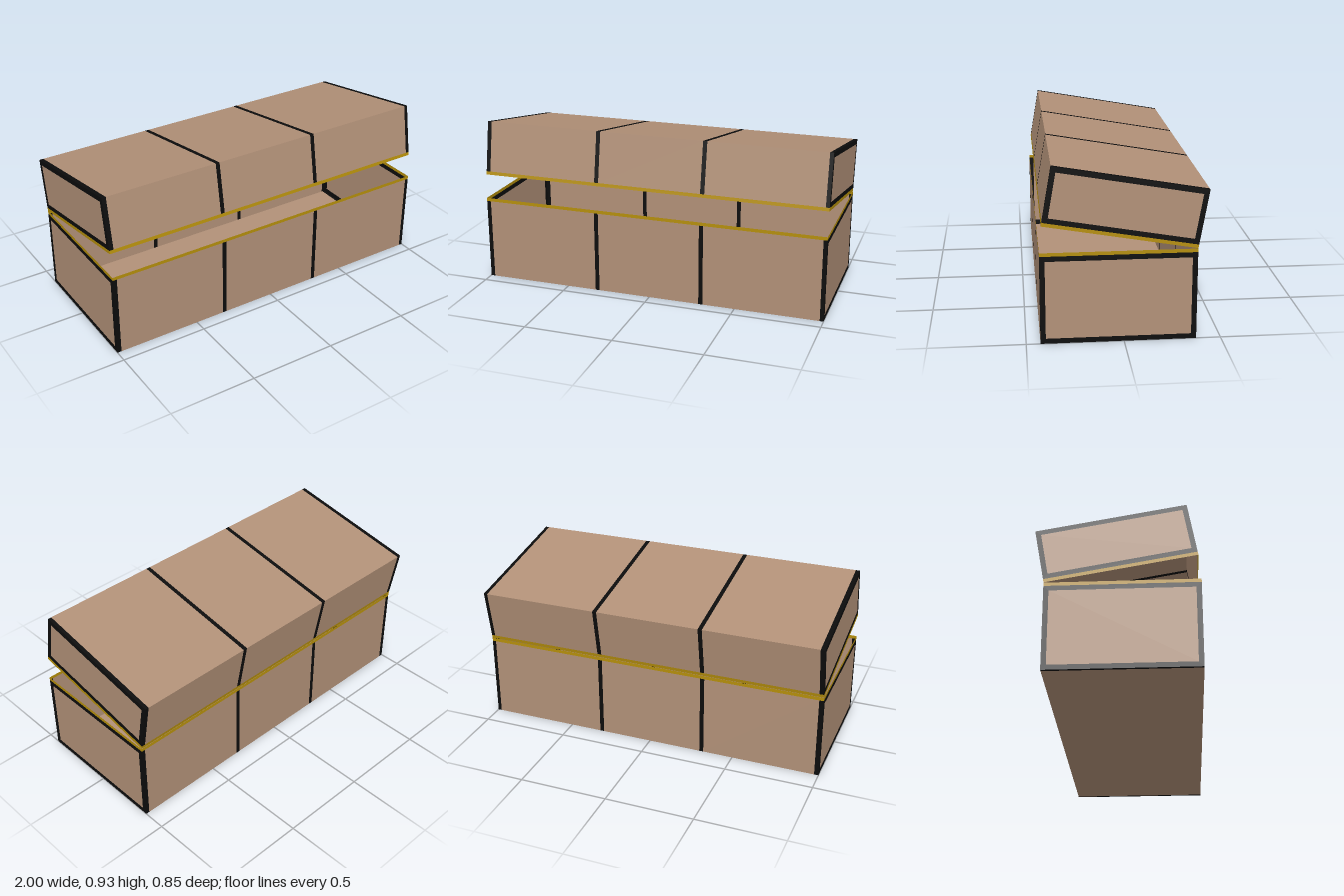
import * as THREE from 'three';

const DEPTH = 0.8;      // front to back of both halves
const FRAME = 0.027;    // border width on the end panels
const RIM = 0.019;      // height of the metal rim
// x breaks of the long panels: odd segments are leather, even ones are straps
const BREAKS = [-1, -0.976, -0.328, -0.304, 0.292, 0.316, 0.979, 1];

function mat(name, color) {
  const m = new THREE.MeshStandardMaterial({ color, side: THREE.DoubleSide });
  m.name = name;
  return m;
}

export function createModel() {
  const leather = mat('tan leather', 0xb29178);
  const black = mat('black trim', 0x0c0c0c);
  const gold = mat('gold rim', 0xb58f0c);

  function add(parent, name, geometry, material) {
    const mesh = new THREE.Mesh(geometry, material);
    mesh.name = name;
    parent.add(mesh);
    return mesh;
  }

  // Upright panel in the xy plane, split along x into leather and straps
  function strappedPanel(name, y0, y1, breaks = BREAKS) {
    const g = new THREE.Group();
    g.name = name;
    for (let i = 0; i < breaks.length - 1; i++) {
      const a = breaks[i], b = breaks[i + 1];
      const geo = new THREE.PlaneGeometry(b - a, y1 - y0).translate((a + b) / 2, (y0 + y1) / 2, 0);
      add(g, i % 2 ? 'leatherPanel' : 'strap', geo, i % 2 ? leather : black);
    }
    return g;
  }

  // Rectangle from corner to corner, as a closed path
  function rect(path, x0, y0, x1, y1) {
    return path.moveTo(x0, y0).lineTo(x1, y0).lineTo(x1, y1).lineTo(x0, y1).closePath();
  }

  // End panel: black border around a leather field
  function endPanel(y0, y1) {
    const g = new THREE.Group();
    g.name = 'endPanel';
    const h = DEPTH / 2;
    const border = rect(new THREE.Shape(), -h, y0, h, y1);
    border.holes.push(rect(new THREE.Path(), -h + FRAME, y0 + FRAME, h - FRAME, y1 - FRAME));
    add(g, 'endBorder', new THREE.ShapeGeometry(border), black);
    const field = rect(new THREE.Shape(), -h + FRAME, y0 + FRAME, h - FRAME, y1 - FRAME);
    add(g, 'endField', new THREE.ShapeGeometry(field), leather);
    return g;
  }

  // Thin-walled half with a gold rim, z running from 0 (hinge) to DEPTH
  function shell(name, wall0, wall1, rim0, rim1) {
    const g = new THREE.Group();
    g.name = name;
    for (const side of [1, -1]) {
      const long = strappedPanel(side > 0 ? 'frontWall' : 'backWall', wall0, wall1,
        side > 0 ? BREAKS : BREAKS.map(x => -x).reverse());
      const longRim = add(g, 'longRim',
        new THREE.PlaneGeometry(2, rim1 - rim0).translate(0, (rim0 + rim1) / 2, 0), gold);
      const end = endPanel(wall0, wall1);
      const endRim = add(g, 'endRim',
        new THREE.PlaneGeometry(DEPTH, rim1 - rim0).translate(0, (rim0 + rim1) / 2, 0), gold);
      for (const part of [long, longRim]) {
        part.position.z = side > 0 ? DEPTH : 0;
        part.rotation.y = side > 0 ? 0 : Math.PI;
      }
      for (const part of [end, endRim]) {
        part.position.set(side, 0, DEPTH / 2);
        part.rotation.y = side * Math.PI / 2;
      }
      g.add(long, end);
    }
    return g;
  }

  const model = new THREE.Group();
  model.name = 'openChest';

  // Base with a floor that has straps at its two ends only
  const baseHeight = 0.487;
  const base = shell('base', 0, baseHeight - RIM, baseHeight - RIM, baseHeight);
  const floor = strappedPanel('floor', 0, DEPTH, [-1, -0.985, 0.985, 1]);
  floor.rotation.x = Math.PI / 2;
  base.add(floor);
  base.position.z = -0.373;
  model.add(base);

  // Lid, tipped open about its rear edge
  const lidHeight = 0.309;
  const lid = shell('lid', RIM, lidHeight, 0, RIM);
  const top = strappedPanel('lidTop', 0, DEPTH);
  top.rotation.x = -Math.PI / 2;
  top.position.set(0, lidHeight, DEPTH);
  lid.add(top);
  lid.position.set(0, 0.489, -0.373);
  lid.rotation.x = -THREE.MathUtils.degToRad(9.9);
  model.add(lid);

  return model;
}
